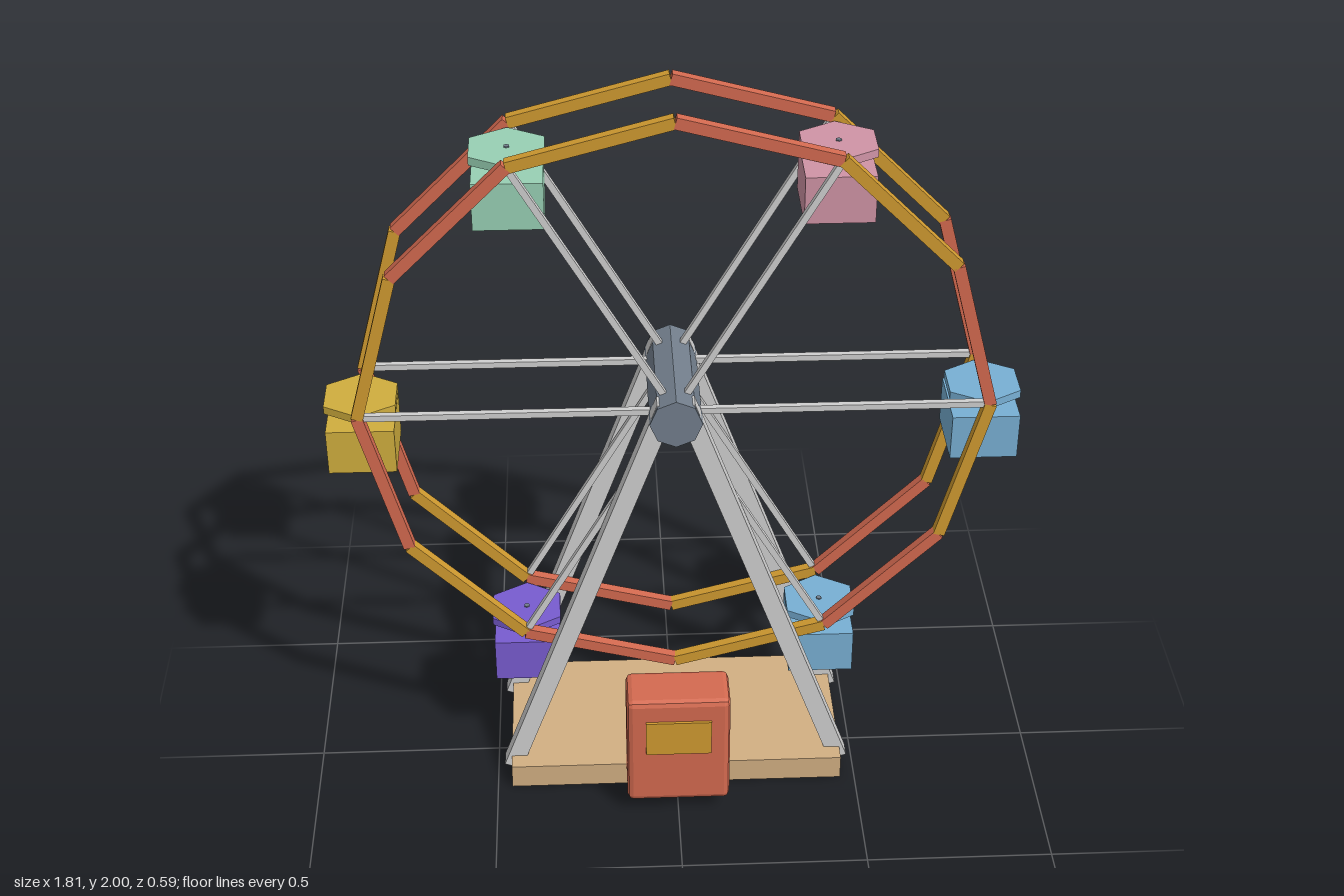
import * as THREE from 'three';
import { RoundedBoxGeometry } from 'three/addons/geometries/RoundedBoxGeometry.js';

const material = (name, color) => {
  const m = new THREE.MeshStandardMaterial({ color, flatShading: true });
  m.name = name;
  return m;
};

export function createModel() {
  const red = material('coral red', 0xd46a50);
  const amber = material('amber', 0xd09a30);
  const tan = material('tan wood', 0xd2b083);
  const steel = material('dark steel', 0x727e8c);
  const silver = material('silver', 0xd0d0d0);
  const blue = material('sky blue', 0x78b0d4);
  const pink = material('pink', 0xd094a6);
  const green = material('mint green', 0x98d0b4);
  const yellow = material('mustard', 0xd0ae3e);
  const purple = material('violet', 0x785cd0);

  const model = new THREE.Group();
  model.name = 'ferrisWheel';
  const hubY = 1.172, midZ = -0.066, wheelR = 0.813;

  const add = (name, geometry, mat, x, y, z, parent = model) => {
    const mesh = new THREE.Mesh(geometry, mat);
    mesh.name = name;
    mesh.position.set(x, y, z);
    parent.add(mesh);
    return mesh;
  };

  // Straight box bar between two points in a plane of constant z
  const bar = (name, x0, y0, x1, y1, z, width, depth, mat, parent) => {
    const length = Math.hypot(x1 - x0, y1 - y0);
    const mesh = add(name, new THREE.BoxGeometry(length, width, depth), mat,
      (x0 + x1) / 2, (y0 + y1) / 2, z, parent);
    mesh.rotation.z = Math.atan2(y1 - y0, x1 - x0);
    return mesh;
  };

  // Base and support legs
  add('base', new THREE.BoxGeometry(0.92, 0.071, 0.46), tan, 0, 0.0355, midZ);
  for (const side of [-1, 1]) {
    for (const face of [-1, 1]) {
      bar('supportLeg', side * 0.457, 0.033, side * 0.025, 1.216,
        midZ + face * 0.16, 0.05, 0.045, silver);
    }
  }

  // Wheel: axle, two twelve-sided rims and their spokes
  const wheel = new THREE.Group();
  wheel.name = 'wheel';
  wheel.position.set(0, hubY, midZ);
  model.add(wheel);
  const axle = add('axle', new THREE.CylinderGeometry(0.068, 0.068, 0.386, 8), steel, 0, 0, 0, wheel);
  axle.rotation.x = Math.PI / 2;
  const rimPoint = (i) => {
    const a = (i * Math.PI) / 6;
    return [wheelR * Math.cos(a), wheelR * Math.sin(a)];
  };
  for (const z of [-0.124, 0.124]) {
    for (let i = 0; i < 12; i++) {
      bar('rimSegment', ...rimPoint(i), ...rimPoint(i + 1), z, 0.031, 0.027,
        i % 2 ? amber : red, wheel);
      if (i % 2 === 0) bar('spoke', 0, 0, ...rimPoint(i), z, 0.017, 0.017, silver, wheel);
    }
  }

  // Six hanging gondolas, each with a hexagonal roof
  [blue, pink, green, yellow, purple, blue].forEach((mat, i) => {
    const gondola = new THREE.Group();
    gondola.name = 'gondola';
    gondola.position.set(...rimPoint(i * 2), 0);
    wheel.add(gondola);
    add('cabin', new THREE.BoxGeometry(0.177, 0.126, 0.195), mat, 0, -0.124, 0, gondola);
    add('roof', new THREE.CylinderGeometry(0.107, 0.107, 0.022, 6), mat, 0, -0.02, 0, gondola);
    add('hanger', new THREE.CylinderGeometry(0.008, 0.008, 0.064, 6), steel, 0, -0.038, 0, gondola);
  });

  // Ticket booth with a bevelled shell and a thin window plate
  add('booth', new RoundedBoxGeometry(0.28, 0.345, 0.14, 1, 0.016), red, 0, 0.217, 0.218);
  add('boothWindow', new THREE.BoxGeometry(0.177, 0.108, 0.009), amber, 0, 0.271, 0.2915);

  return model;
}
